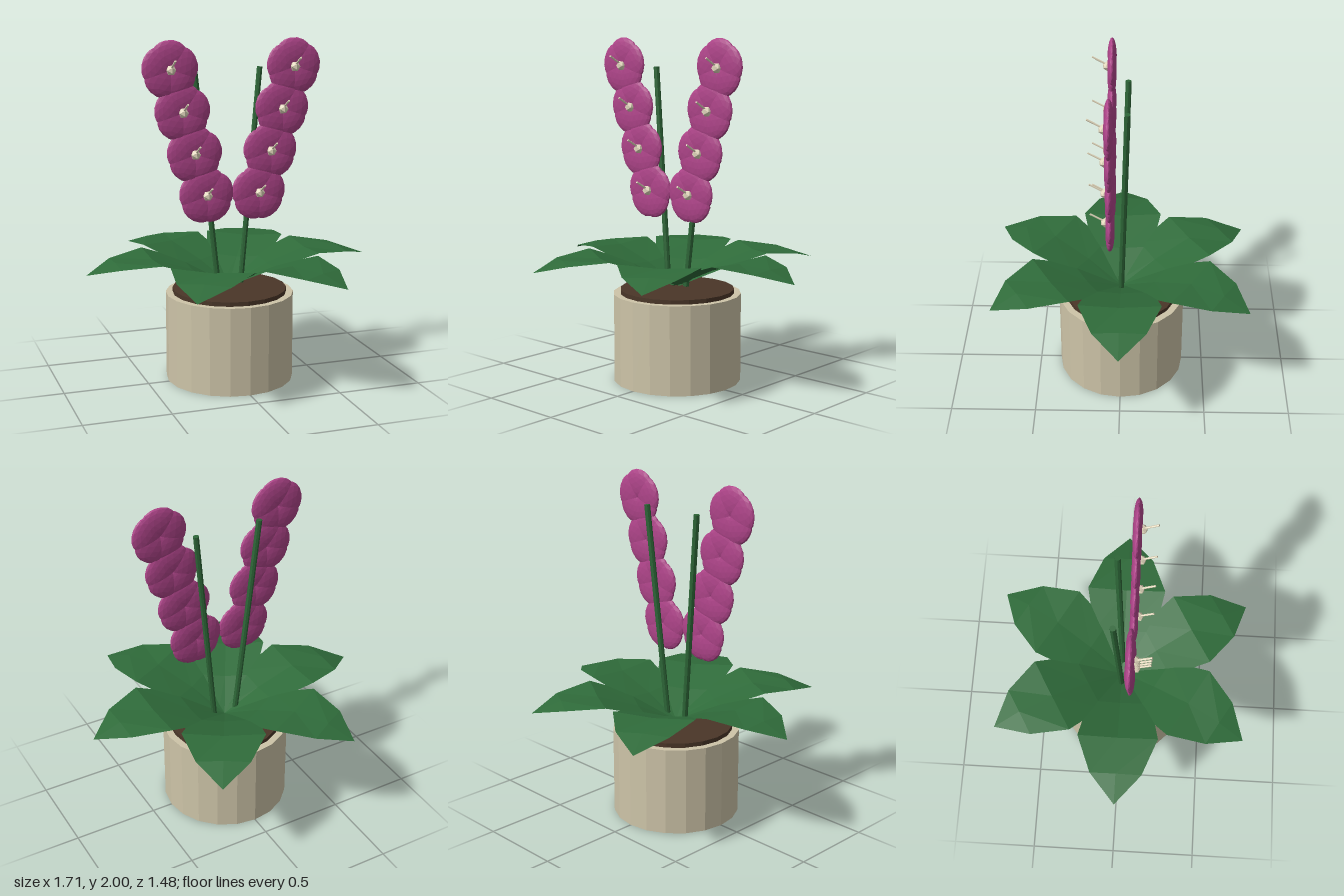
import * as THREE from 'three';

const mat = (name, color, side = THREE.FrontSide) => {
  const m = new THREE.MeshStandardMaterial({ color, flatShading: true, side });
  m.name = name;
  return m;
};

// One leaf along +x: rows of [radius, half width, midrib y, edge y]
function leafGeometry() {
  const rows = [
    [0.0, 0.04, 0.56, 0.565],
    [0.23, 0.185, 0.67, 0.685],
    [0.47, 0.237, 0.75, 0.765],
    [0.685, 0.152, 0.745, 0.738],
    [0.855, 0.0, 0.685, 0.685],
  ];
  const pos = [], idx = [];
  for (const [r, w, mid, edge] of rows) pos.push(r, edge, w, r, mid, 0, r, edge, -w);
  for (let i = 0; i < rows.length - 1; i++) {
    for (let j = 0; j < 2; j++) {
      const a = i * 3 + j, b = a + 3;
      idx.push(a, b, a + 1, a + 1, b, b + 1);
    }
  }
  const g = new THREE.BufferGeometry();
  g.setAttribute('position', new THREE.Float32BufferAttribute(pos, 3));
  g.setIndex(idx);
  g.computeVertexNormals();
  return g;
}

// Cylinder between two points
function rod(name, from, to, radius, sides, material) {
  const dir = new THREE.Vector3().subVectors(to, from);
  const mesh = new THREE.Mesh(new THREE.CylinderGeometry(radius, radius, dir.length(), sides), material);
  mesh.position.addVectors(from, to).multiplyScalar(0.5);
  mesh.quaternion.setFromUnitVectors(new THREE.Vector3(0, 1, 0), dir.normalize());
  mesh.name = name;
  return mesh;
}

export function createModel() {
  const clay = mat('clay', 0xcdc4a8);
  const soil = mat('soil', 0x4a3628);
  const leafGreen = mat('leafGreen', 0x2f6b3a, THREE.DoubleSide);
  const stemGreen = mat('stemGreen', 0x2d6637);
  const magenta = mat('magenta', 0xae4489);
  const cream = mat('cream', 0xe2d8bd);

  const model = new THREE.Group();
  model.name = 'pottedOrchid';
  const add = (parent, name, geometry, material) => {
    const mesh = new THREE.Mesh(geometry, material);
    mesh.name = name;
    parent.add(mesh);
    return mesh;
  };

  // Pot and soil
  add(model, 'pot', new THREE.CylinderGeometry(0.375, 0.375, 0.52, 20), clay).position.y = 0.26;
  add(model, 'soil', new THREE.CylinderGeometry(0.335, 0.335, 0.04, 20), soil).position.y = 0.525;

  // Rosette of six leaves
  const leaf = leafGeometry();
  for (let i = 0; i < 6; i++) {
    add(model, 'leaf', leaf, leafGreen).rotation.y = (i * Math.PI) / 3;
  }

  // Flower: five overlapping flat petals with a pale centre and column
  const petal = new THREE.IcosahedronGeometry(1, 2).scale(0.11, 0.09, 0.025).translate(0, 0.075, 0);
  const core = new THREE.IcosahedronGeometry(0.03, 0);
  function flower() {
    const g = new THREE.Group();
    g.name = 'flower';
    for (let i = 0; i < 5; i++) {
      add(g, 'petal', petal, magenta).rotation.z = (i * Math.PI * 2) / 5;
    }
    add(g, 'flowerCentre', core, cream).position.z = 0.025;
    g.add(rod('column', new THREE.Vector3(0, 0.01, 0.03), new THREE.Vector3(0, 0.057, 0.113), 0.006, 6, cream));
    return g;
  }

  // Two mirrored stems, each with four flowers
  for (const s of [1, -1]) {
    model.add(rod('stem', new THREE.Vector3(s * 0.07, 0.565, 0), new THREE.Vector3(s * 0.197, 1.83, -0.037), 0.017, 8, stemGreen));
    for (let i = 0; i < 4; i++) {
      const f = flower();
      f.position.set(s * (0.158 + i * 0.07), 1.115 + i * 0.24, 0.06);
      model.add(f);
    }
  }
  return model;
}
